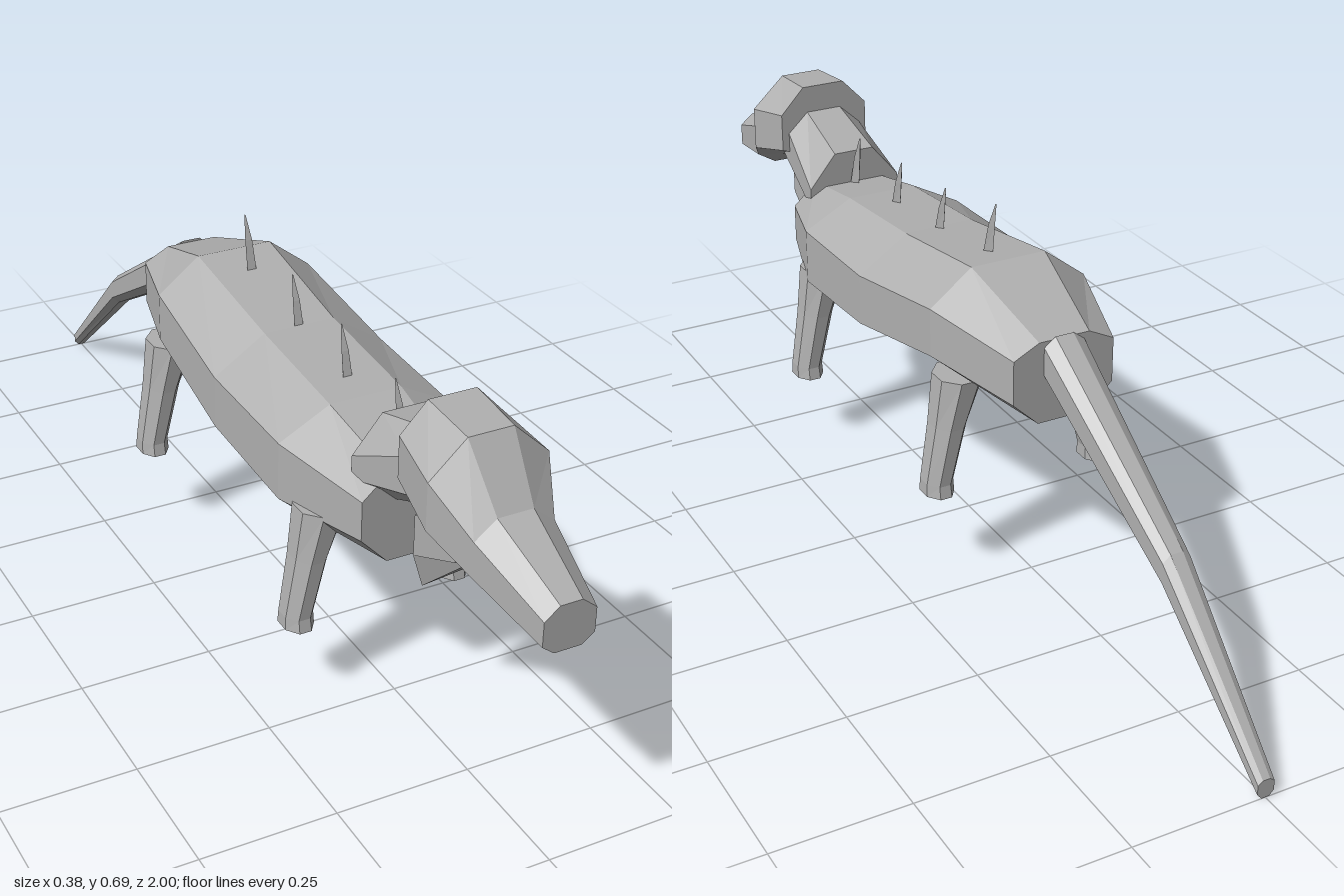
import * as THREE from 'three';

// Skin a list of matching rings (each counter-clockwise seen from the first end) and cap both ends.
function loft(name, rings, material) {
  const pos = [];
  const tri = (a, b, c) => pos.push(...a, ...b, ...c);
  const n = rings[0].length;
  for (let i = 0; i < rings.length - 1; i++) {
    for (let j = 0; j < n; j++) {
      const k = (j + 1) % n;
      const a = rings[i][j], b = rings[i][k], c = rings[i + 1][k], d = rings[i + 1][j];
      tri(a, d, b);
      tri(b, d, c);
    }
  }
  const first = rings[0], last = rings[rings.length - 1];
  for (let j = 1; j < n - 1; j++) {
    tri(first[0], first[j], first[j + 1]);
    tri(last[0], last[j + 1], last[j]);
  }
  const geometry = new THREE.BufferGeometry();
  geometry.setAttribute('position', new THREE.Float32BufferAttribute(pos, 3));
  geometry.computeVertexNormals();
  const mesh = new THREE.Mesh(geometry, material);
  mesh.name = name;
  return mesh;
}

// Upright eight-sided section: z, side half-width, top and bottom half-widths, then four heights.
const section = ([z, w, t, b, top, upper, lower, bottom]) => [
  [w, upper, z], [t, top, z], [-t, top, z], [-w, upper, z],
  [-w, lower, z], [-b, bottom, z], [b, bottom, z], [w, lower, z],
];

// Level polygon used for the legs and spikes.
function levelRing(x, y, z, rx, rz, sides, turn = 0) {
  return Array.from({ length: sides }, (_, i) => {
    const a = turn + (i / sides) * Math.PI * 2;
    return [x + rx * Math.cos(a), y, z - rz * Math.sin(a)];
  });
}

export function createModel() {
  const model = new THREE.Group();
  model.name = 'lizard';
  const hide = new THREE.MeshStandardMaterial({ color: 0xb0b0b0 });
  hide.name = 'grey hide';
  hide.flatShading = true;

  // Trunk, neck, head and tail, each listed from front to back
  const parts = {
    body: [
      [0.56, 0.11, 0.06, 0.06, 0.5, 0.455, 0.38, 0.327],
      [0.37, 0.168, 0.07, 0.065, 0.535, 0.483, 0.374, 0.307],
      [0.12, 0.17, 0.07, 0.065, 0.556, 0.49, 0.39, 0.318],
      [-0.15, 0.158, 0.075, 0.07, 0.597, 0.533, 0.44, 0.392],
      [-0.35, 0.1, 0.05, 0.05, 0.53, 0.505, 0.42, 0.372],
    ],
    neck: [
      [0.7, 0.075, 0.035, 0.035, 0.635, 0.6, 0.53, 0.5],
      [0.645, 0.08, 0.037, 0.04, 0.62, 0.58, 0.51, 0.48],
      [0.5, 0.098, 0.042, 0.05, 0.578, 0.51, 0.465, 0.42],
    ],
    head: [
      [1, 0.047, 0.02, 0.025, 0.497, 0.475, 0.43, 0.413],
      [0.84, 0.073, 0.033, 0.035, 0.562, 0.53, 0.465, 0.442],
      [0.76, 0.11, 0.042, 0.05, 0.665, 0.602, 0.515, 0.49],
      [0.645, 0.095, 0.045, 0.045, 0.675, 0.622, 0.545, 0.528],
    ],
    tail: [
      [-0.35, 0.04, 0.018, 0.018, 0.535, 0.518, 0.465, 0.445],
      [-0.72, 0.027, 0.012, 0.012, 0.3, 0.287, 0.25, 0.235],
      [-1, 0.016, 0.007, 0.007, 0.035, 0.028, 0.01, 0],
    ],
  };
  for (const [name, rows] of Object.entries(parts)) model.add(loft(name, rows.map(section), hide));

  // Lopsided throat flap below the jaw
  model.add(loft('throatFlap', [
    [[0.035, 0.41, 0.735], [0.035, 0.475, 0.735], [-0.037, 0.475, 0.735], [-0.037, 0.42, 0.735], [-0.01, 0.41, 0.735]],
    [[0.035, 0.305, 0.595], [0.035, 0.43, 0.595], [-0.03, 0.43, 0.595], [-0.03, 0.35, 0.595], [-0.01, 0.283, 0.595]],
  ], hide));

  // Splayed legs, slightly staggered from side to side
  for (const [name, side, z, lift] of [
    ['frontLeftLeg', 1, 0.405, 0], ['frontRightLeg', -1, 0.427, 0],
    ['rearLeftLeg', 1, -0.178, 0.027], ['rearRightLeg', -1, -0.196, 0.027],
  ]) {
    const rows = [[0.117, 0.385, 0.047, 0.053], [0.14, 0.29, 0.034, 0.044],
      [0.162, 0.176, 0.029, 0.037], [0.162, 0.152, 0.03, 0.042]];
    model.add(loft(name, rows.map(([x, y, rx, rz]) =>
      levelRing(side * x, y + lift, z, rx, rz, 8, Math.PI / 8)), hide));
  }

  // Backward-curving spikes along the spine
  for (const [z, y] of [[0.475, 0.525], [0.285, 0.54], [0.1, 0.555], [-0.095, 0.595]]) {
    model.add(loft('backSpike', [
      levelRing(0, y + 0.09, z - 0.008, 0.0015, 0.0015, 3, Math.PI / 2),
      levelRing(0, y + 0.045, z + 0.004, 0.008, 0.008, 3, Math.PI / 2),
      levelRing(0, y - 0.015, z + 0.016, 0.011, 0.013, 3, Math.PI / 2),
    ], hide));
  }
  return model;
}
